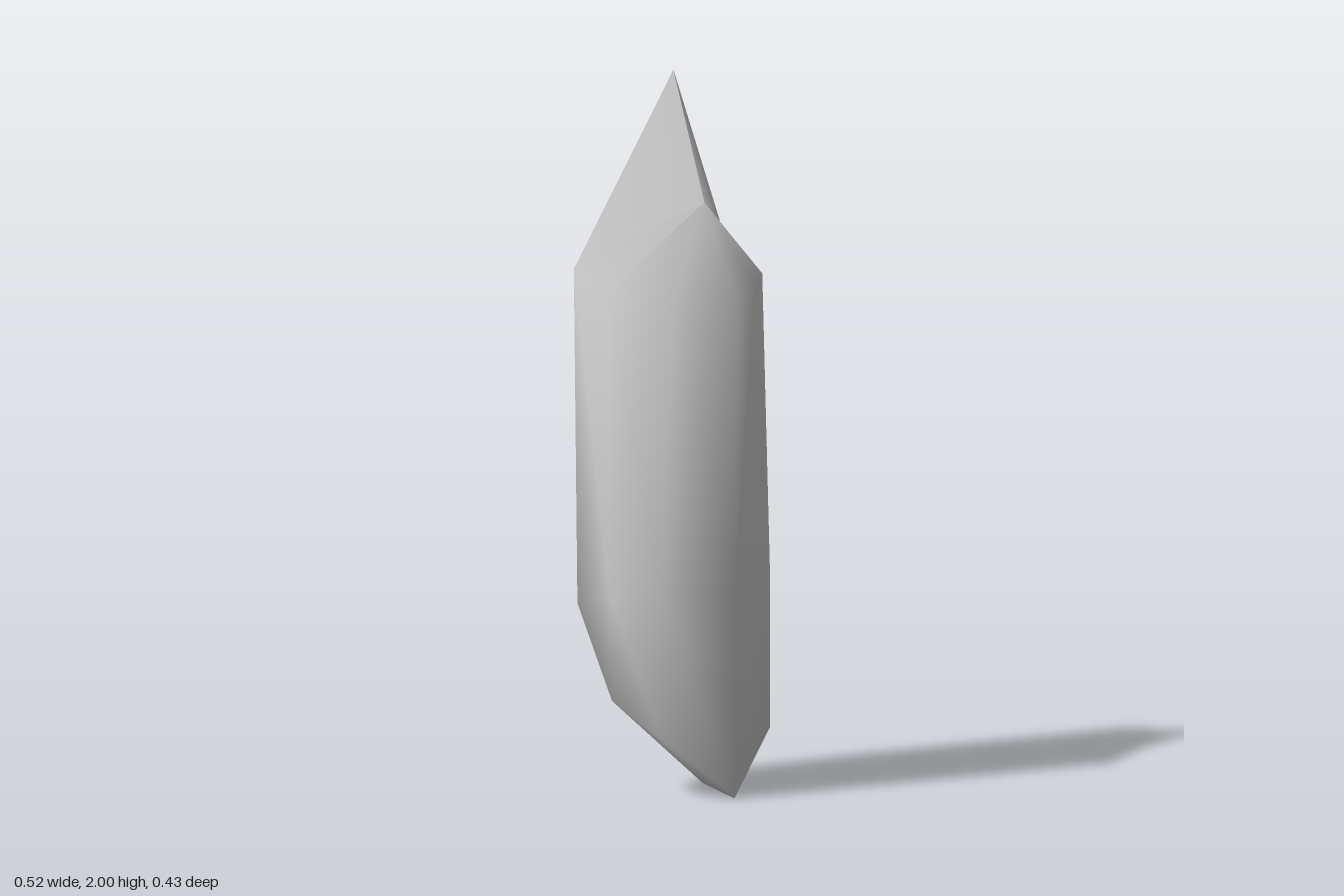
import * as THREE from 'three';
import { toCreasedNormals } from 'three/addons/utils/BufferGeometryUtils.js';

// Half cross-section from back centre round to the front ridge, mirrored to a ring of 8
function ring(half) {
  const mirrored = half.slice(1, 4).reverse().map(([x, y, z]) => [-x, y, z]);
  return [...half, ...mirrored];
}

export function createModel() {
  const group = new THREE.Group();
  group.name = 'crystal';

  // Rings from the faceted foot up to the shoulder
  const rings = [
    ring([[0, 0.27, -0.12], [0.13, 0.265, -0.09], [0.24, 0.26, -0.05], [0.18, 0.17, 0.107], [0, 0, 0.2]]),
    ring([[0, 0.51, -0.215], [0.245, 0.51, -0.215], [0.246, 0.55, -0.05], [0.18, 0.58, 0.107], [0, 0.6, 0.206]]),
    ring([[0, 1.45, -0.215], [0.257, 1.45, -0.215], [0.258, 1.41, -0.05], [0.13, 1.41, 0.107], [0, 1.4, 0.215]]),
  ];
  const apex = [0, 2, -0.105];
  const notch = [0, 1.65, 0.05];
  const heel = [0, 0.02, 0.04];

  const positions = [];
  const tri = (a, b, c) => positions.push(...a, ...b, ...c);
  const [foot, , shoulder] = rings;

  for (let i = 0; i < 8; i++) {
    const j = (i + 1) % 8;
    // Body sides
    for (let r = 0; r < 2; r++) {
      const lo = rings[r], hi = rings[r + 1];
      if (i < 4) {
        tri(lo[j], lo[i], hi[i]);
        tri(lo[j], hi[i], hi[j]);
      } else {
        tri(lo[j], lo[i], hi[j]);
        tri(lo[i], hi[i], hi[j]);
      }
    }
    // Back facets run up to the apex, front facets to the notch
    tri(shoulder[j], shoulder[i], i === 0 || i === 7 ? apex : notch);
    // Underside
    tri(foot[i], foot[j], heel);
  }
  // Steep side facets of the spire
  tri(notch, shoulder[1], apex);
  tri(shoulder[7], notch, apex);

  const geometry = new THREE.BufferGeometry();
  geometry.setAttribute('position', new THREE.Float32BufferAttribute(positions, 3));

  const mesh = new THREE.Mesh(
    toCreasedNormals(geometry, 1.75),
    new THREE.MeshStandardMaterial({ color: 0xcccccc })
  );
  mesh.name = 'crystalShard';
  group.add(mesh);
  return group;
}
